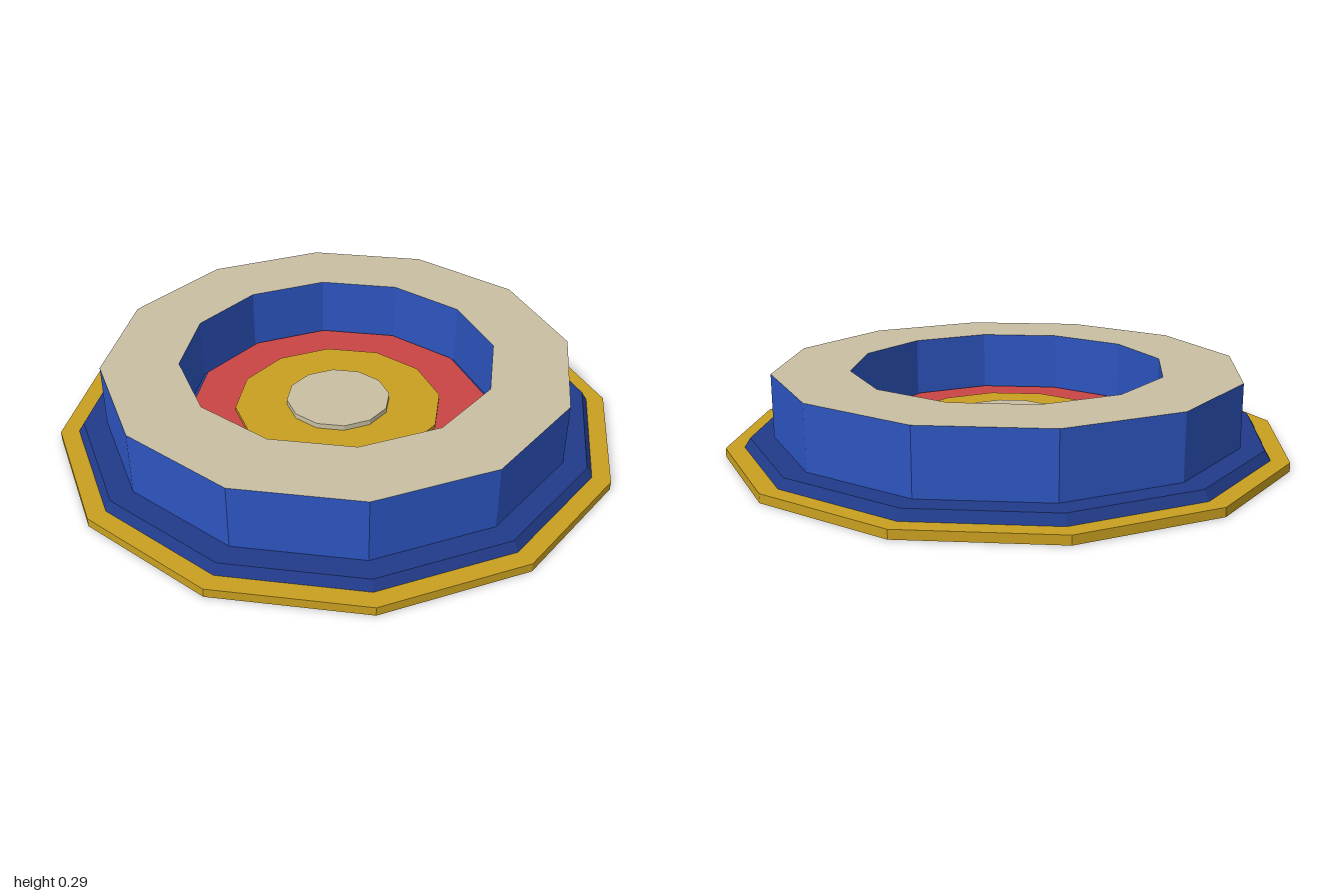
import * as THREE from 'three';

const SIDES = 12;

function material(name, color) {
  const m = new THREE.MeshStandardMaterial({ color, flatShading: true });
  m.name = name;
  return m;
}

export function createModel() {
  const gold = material('gold', 0xc9a020);
  const navy = material('navy', 0x213b8a);
  const blue = material('blue', 0x2d55c0);
  const cream = material('cream', 0xc9bfa2);
  const red = material('red', 0xc94545);

  const group = new THREE.Group();
  group.name = 'roundFountain';

  function add(name, geometry, mat) {
    const mesh = new THREE.Mesh(geometry, mat);
    mesh.name = name;
    group.add(mesh);
    return mesh;
  }

  // Twelve-sided tier between two heights
  function tier(name, rTop, rBottom, y0, y1, mat) {
    const g = new THREE.CylinderGeometry(rTop, rBottom, y1 - y0, SIDES);
    add(name, g.translate(0, (y0 + y1) / 2, 0), mat);
  }

  // Stepped base
  tier('baseTrim', 1, 1, 0.001, 0.032, gold);
  tier('basePlinth', 0.915, 0.955, 0, 0.065, navy);

  // Raised ring: outer and inner walls with a flat rim on top
  const floorY = 0.065, rimY = 0.29, outer = 0.833, inner = 0.56;
  const wall = (r0, r1, y0, y1) => new THREE.LatheGeometry(
    [new THREE.Vector2(r0, y0), new THREE.Vector2(r1, y1)], SIDES);
  add('ringOuterWall', wall(outer, outer, floorY, rimY), blue);
  add('ringInnerWall', wall(inner, inner, rimY, floorY), blue);
  add('ringRim', wall(outer, inner, rimY, rimY), cream);

  // Concentric stepped discs inside the ring
  tier('outerDisc', 0.543, 0.543, floorY, 0.08, red);
  tier('middleDisc', 0.373, 0.373, 0.08, 0.093, gold);
  tier('centreDisc', 0.187, 0.187, 0.093, 0.112, cream);

  return group;
}
